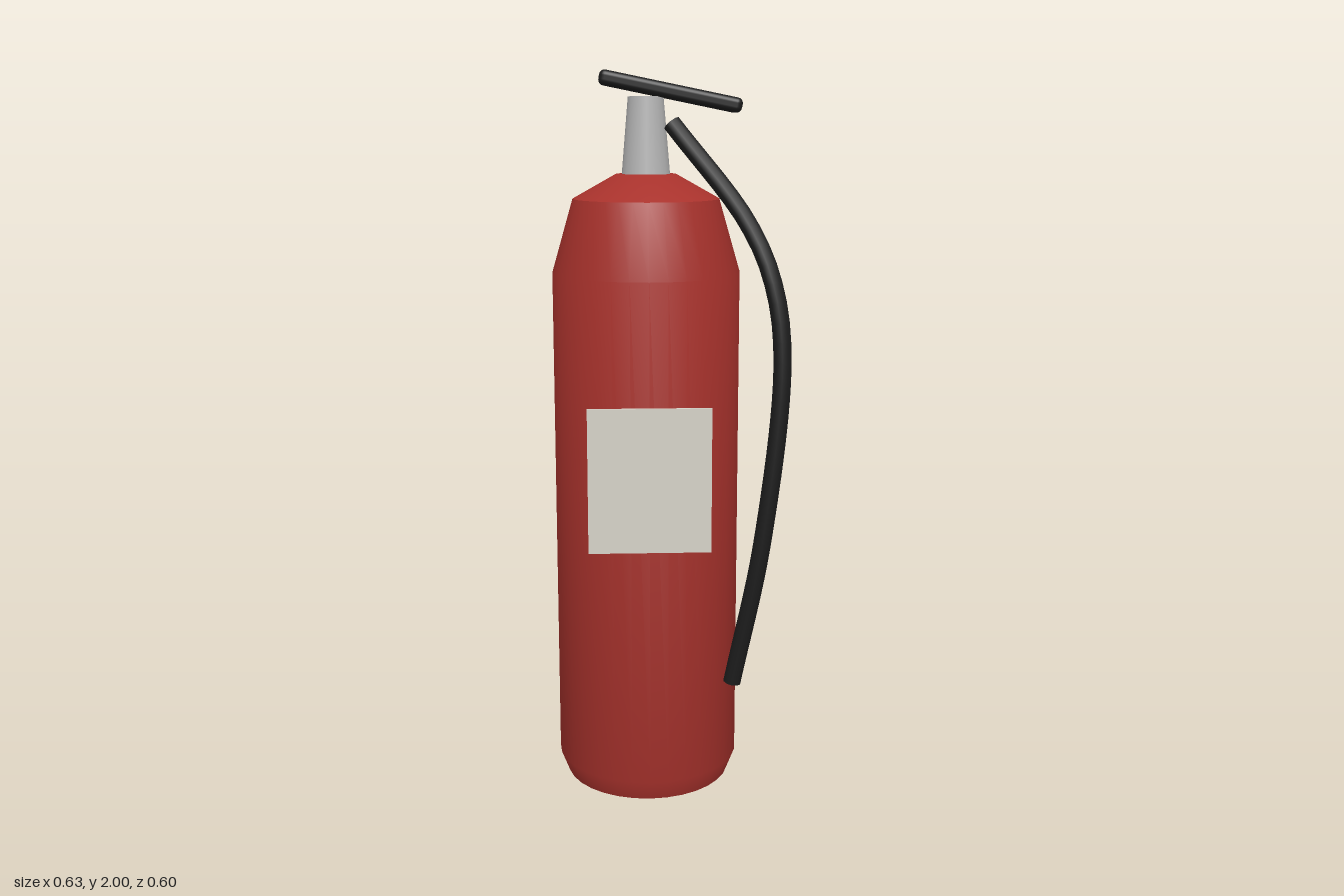
import * as THREE from 'three';
import { RoundedBoxGeometry } from 'three/addons/geometries/RoundedBoxGeometry.js';
import { toCreasedNormals } from 'three/addons/utils/BufferGeometryUtils.js';

const AXIS_X = -0.062, AXIS_Z = 0.032; // vertical axis of the tank

const paint = (color) => new THREE.MeshStandardMaterial({ color });

export function createModel() {
  const model = new THREE.Group();
  const red = paint(0xa8322c);
  const rubber = paint(0x1c1c1c);

  const add = (name, geometry, material, x = 0, y = 0, z = 0) => {
    const mesh = new THREE.Mesh(geometry, material);
    mesh.name = name;
    mesh.position.set(x, y, z);
    model.add(mesh);
    return mesh;
  };

  // Tank: chamfered foot, straight wall, sloping shoulder
  const profile = [
    [0, 0], [0.235, 0], [0.258, 0.06], [0.258, 1.46], [0.2, 1.66], [0.082, 1.726], [0, 1.726],
  ].map(([r, y]) => new THREE.Vector2(r, y));
  add('tank', toCreasedNormals(new THREE.LatheGeometry(profile, 32), 0.65), red, AXIS_X, 0, AXIS_Z);

  // Valve neck
  add('neck', new THREE.CylinderGeometry(0.048, 0.066, 0.21, 20), paint(0xb4b4b4), AXIS_X, 1.825, AXIS_Z);

  // Tilted handle
  const handle = add('handle', new RoundedBoxGeometry(0.39, 0.04, 0.098, 3, 0.015), rubber, 0.004, 1.943, AXIS_Z);
  handle.rotation.z = -0.2;

  // Hose swinging out to the side and down
  const curve = new THREE.CatmullRomCurve3([
    [0.005, 1.86, 0.097], [0.2, 1.605, 0.197], [0.265, 1.45, 0.242], [0.29, 1.25, 0.264],
    [0.244, 0.75, 0.263], [0.168, 0.335, 0.234],
  ].map((p) => new THREE.Vector3(...p)));
  add('hose', new THREE.TubeGeometry(curve, 32, 0.025, 10), rubber);

  // Flat ends of the hose
  for (const [t, sign] of [[0, -1], [1, 1]]) {
    const end = curve.getPointAt(t);
    const cap = add('hoseEnd', new THREE.CircleGeometry(0.025, 10), rubber, end.x, end.y, end.z);
    cap.lookAt(end.clone().addScaledVector(curve.getTangentAt(t), sign));
  }

  // Label plate on the front
  add('label', new THREE.BoxGeometry(0.33, 0.395, 0.008), paint(0xd6d2c8), AXIS_X, 0.932, 0.294);

  // Wall bracket behind the tank
  add('wallBracket', new RoundedBoxGeometry(0.198, 0.99, 0.066, 3, 0.013), paint(0x2e3032), -0.063, 1.165, -0.267);

  return model;
}
